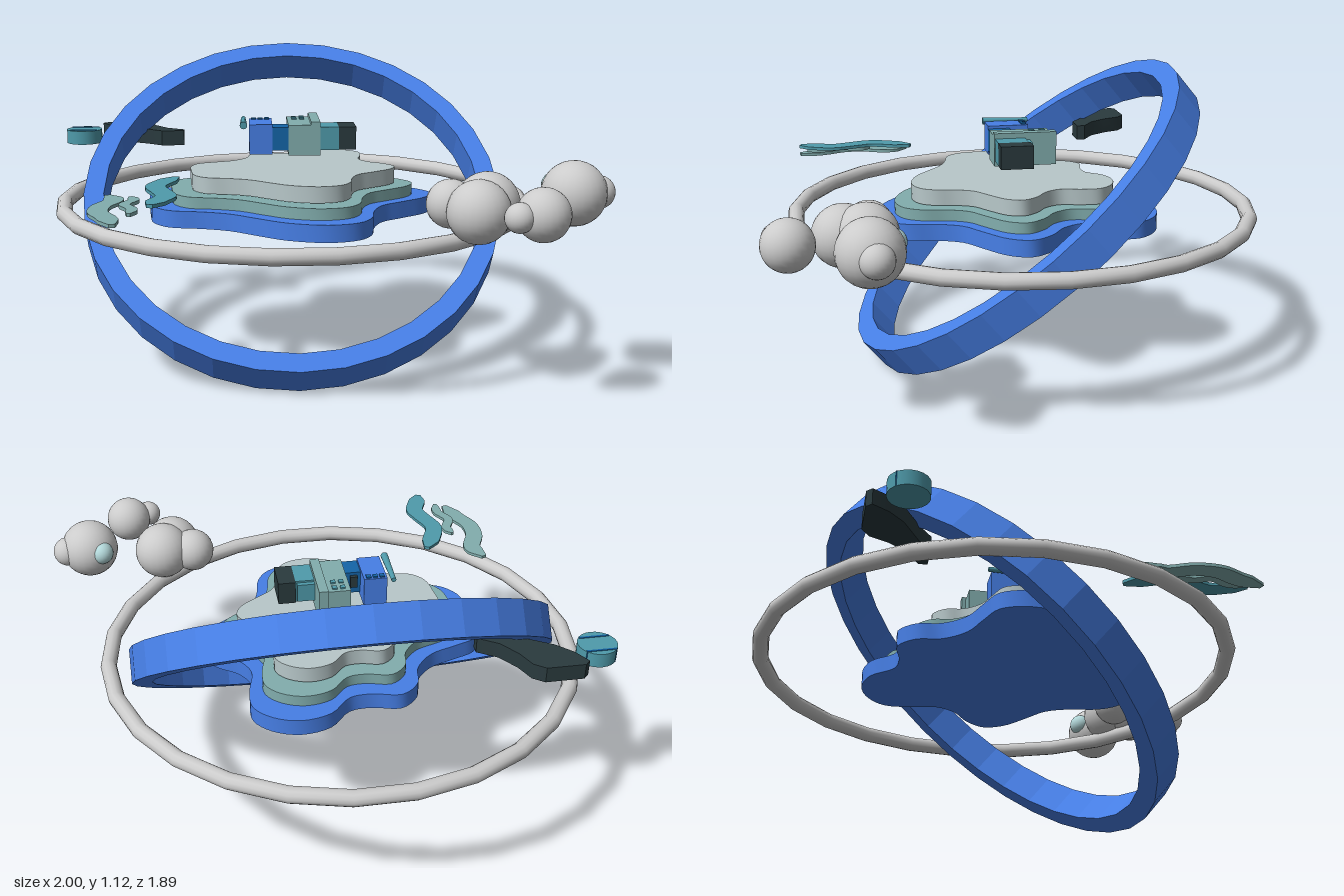
import * as THREE from 'three';
import { toCreasedNormals } from 'three/addons/utils/BufferGeometryUtils.js';

const BLUE = 0x477fe6, NAVY = 0x1565a8, SAGE = 0x82aeae, MIST = 0xb8c8ca;
const TEAL = 0x4f9bab, DARK = 0x2a3a3e, PALE = 0xb5dadc, GREY = 0xcccccc;

export function createModel() {
  const model = new THREE.Group();

  function add(parent, name, geometry, color, flatShading = false) {
    const mesh = new THREE.Mesh(geometry, new THREE.MeshStandardMaterial({ color, flatShading }));
    mesh.name = name;
    parent.add(mesh);
    return mesh;
  }
  function group(name) {
    const g = new THREE.Group();
    g.name = name;
    model.add(g);
    return g;
  }
  // Box given by its minimum and maximum on each axis
  function block(parent, name, [x0, x1], [y0, y1], [z0, z1], color) {
    const mesh = add(parent, name, new THREE.BoxGeometry(x1 - x0, y1 - y0, z1 - z0), color);
    mesh.position.set((x0 + x1) / 2, (y0 + y1) / 2, (z0 + z1) / 2);
    return mesh;
  }
  // Upright slab between y0 and y1 from an outline of [x, z] points
  function slab(parent, name, outline, y0, y1, color) {
    const shape = new THREE.Shape(outline.map(([x, z]) => new THREE.Vector2(x, -z)));
    const geo = new THREE.ExtrudeGeometry(shape, { depth: y1 - y0, bevelEnabled: false });
    geo.rotateX(-Math.PI / 2).translate(0, y0, 0);
    return add(parent, name, toCreasedNormals(geo, 0.6), color);
  }
  // Smooth curve through [x, z] points, sampled as [x, z]
  function smooth(points, closed, count) {
    const curve = new THREE.CatmullRomCurve3(points.map(([x, z]) => new THREE.Vector3(x, 0, z)), closed);
    const out = curve.getPoints(count).map(p => [p.x, p.z]);
    if (closed) out.pop();
    return out;
  }

  // Level outer hoop
  const hoop = add(model, 'outerHoop', new THREE.TorusGeometry(0.878, 0.03, 12, 26).rotateX(Math.PI / 2), GREY);
  hoop.position.set(-0.078, 0.577, -0.045);

  // Tilted flat band
  const band = [[0.8, -0.065], [0.8, 0.065], [0.724, 0.065], [0.724, -0.065], [0.8, -0.065]];
  const ring = add(model, 'tiltedRing',
    new THREE.LatheGeometry(band.map(p => new THREE.Vector2(...p)), 32), BLUE, true);
  ring.position.set(-0.08, 0.567, -0.047);
  ring.rotation.x = THREE.MathUtils.degToRad(39.8);

  // Wavy island in three shrinking layers
  const coast = smooth([
    [0.45, 0.01], [0.42, 0.09], [0.32, 0.17], [0.24, 0.23], [0.2, 0.32], [0.18, 0.43], [0.13, 0.5], [0.02, 0.53],
    [-0.12, 0.49], [-0.23, 0.41], [-0.32, 0.34], [-0.42, 0.3], [-0.54, 0.27], [-0.6, 0.2], [-0.62, 0.08],
    [-0.625, -0.04], [-0.59, -0.12], [-0.5, -0.16], [-0.4, -0.2], [-0.33, -0.28], [-0.31, -0.37], [-0.24, -0.43],
    [-0.13, -0.41], [-0.05, -0.42], [0.03, -0.5], [0.14, -0.525], [0.24, -0.49], [0.3, -0.42], [0.3, -0.32],
    [0.28, -0.21], [0.32, -0.13], [0.4, -0.07],
  ], true, 128);
  const island = group('island');
  for (const [name, s, y0, y1, color] of [
    ['lowerTerrace', 1, 0.545, 0.608, BLUE],
    ['middleTerrace', 0.855, 0.608, 0.65, SAGE],
    ['upperTerrace', 0.722, 0.655, 0.715, MIST],
  ]) {
    const outline = coast.map(([x, z]) => [-0.065 + (x + 0.065) * s, 0.04 + (z - 0.04) * s]);
    slab(island, name, outline, y0, y1, color);
  }

  // Row of buildings lying on their backs, roofs toward -z
  const city = group('skyline');
  block(city, 'blueBuilding', [-0.247, -0.16], [0.775, 0.888], [-0.085, 0.075], BLUE);
  block(city, 'lowBuilding', [-0.16, -0.1], [0.79, 0.877], [-0.01, 0.075], NAVY);
  block(city, 'lowBuildingVent', [-0.147, -0.12], [0.82, 0.865], [-0.025, -0.01], DARK);
  block(city, 'tallBuilding', [-0.1, -0.015], [0.77, 0.885], [-0.145, 0.078], SAGE);
  block(city, 'tallBuildingTower', [-0.015, 0.02], [0.77, 0.897], [-0.16, 0.078], SAGE);
  block(city, 'tealBuilding', [0.02, 0.09], [0.79, 0.877], [-0.04, 0.075], TEAL);
  block(city, 'tealBuildingRoof', [0.02, 0.085], [0.8, 0.87], [-0.058, -0.04], TEAL);
  block(city, 'darkBuilding', [0.09, 0.155], [0.79, 0.877], [-0.048, 0.075], DARK);
  for (let i = 0; i < 3; i++) {
    const x = -0.238 + i * 0.025;
    block(city, 'blueWindow', [x, x + 0.018], [0.88, 0.893], [-0.078, -0.058], NAVY);
  }
  for (let row = 0; row < 2; row++) for (let i = 0; i < 2; i++) {
    const x = -0.082 + i * 0.03, z = -0.13 + row * 0.04;
    block(city, 'tallWindow', [x, x + 0.018], [0.875, 0.89], [z, z + 0.02], TEAL);
  }
  const mast = add(city, 'mast', new THREE.CylinderGeometry(0.009, 0.014, 0.18, 12).rotateX(-Math.PI / 2), TEAL);
  mast.position.set(-0.268, 0.886, -0.01);

  // Cloud puffs: x, y, z, radius
  const clouds = group('clouds');
  for (const [x, y, z, r, color = GREY] of [
    [0.432, 0.69, 0.58, 0.085], [0.555, 0.69, 0.595, 0.112], [0.512, 0.68, 0.67, 0.11],
    [0.685, 0.71, 0.853, 0.09], [0.6, 0.71, 0.89, 0.05],
    [0.85, 0.725, 0.6, 0.113], [0.938, 0.725, 0.585, 0.058], [0.8, 0.74, 0.525, 0.045, PALE],
  ]) add(clouds, 'puff', new THREE.SphereGeometry(r, 24, 16), color).position.set(x, y, z);

  // Dark curved fin
  slab(model, 'fin', [
    [-0.86, -0.59], [-0.84, -0.61], [-0.7, -0.61], [-0.66, -0.58], [-0.63, -0.51], [-0.58, -0.44],
    [-0.51, -0.395], [-0.51, -0.362], [-0.6, -0.362], [-0.66, -0.41], [-0.77, -0.475], [-0.825, -0.53],
  ], 0.738, 0.798, DARK);

  // Round disc with two stripes
  const disc = group('disc');
  add(disc, 'discBody', new THREE.CylinderGeometry(0.072, 0.072, 0.055, 24), TEAL).position.set(-0.927, 0.763, -0.48);
  for (const z of [-0.525, -0.44])
    block(disc, 'discStripe', [-0.982, -0.872], [0.736, 0.793], [z - 0.004, z + 0.004], NAVY);

  // Thin wavy ribbons with tapered ends
  function ribbon(path, width, y, color) {
    const mid = smooth(path, false, 32), left = [], right = [];
    mid.forEach(([x, z], i) => {
      const a = mid[Math.max(i - 1, 0)], b = mid[Math.min(i + 1, 32)];
      const dx = b[0] - a[0], dz = b[1] - a[1], len = Math.hypot(dx, dz);
      const w = width / 2 * (0.3 + 0.7 * Math.min(1, 2.5 * Math.sin(Math.PI * i / 32)));
      left.push([x - dz / len * w, z + dx / len * w]);
      right.unshift([x + dz / len * w, z - dx / len * w]);
    });
    slab(waves, 'ribbon', [...left, ...right], y - 0.006, y + 0.006, color);
  }
  const waves = group('waves');
  ribbon([[-0.75, 0.35], [-0.72, 0.43], [-0.755, 0.53], [-0.755, 0.62], [-0.72, 0.7], [-0.69, 0.8]], 0.07, 0.68, SAGE);
  ribbon([[-0.655, 0.51], [-0.64, 0.56], [-0.665, 0.63], [-0.635, 0.7], [-0.64, 0.77]], 0.038, 0.708, SAGE);
  ribbon([[-0.505, 0.35], [-0.54, 0.42], [-0.57, 0.51], [-0.54, 0.61], [-0.525, 0.67], [-0.55, 0.74], [-0.57, 0.8]],
    0.07, 0.743, TEAL);

  return model;
}
